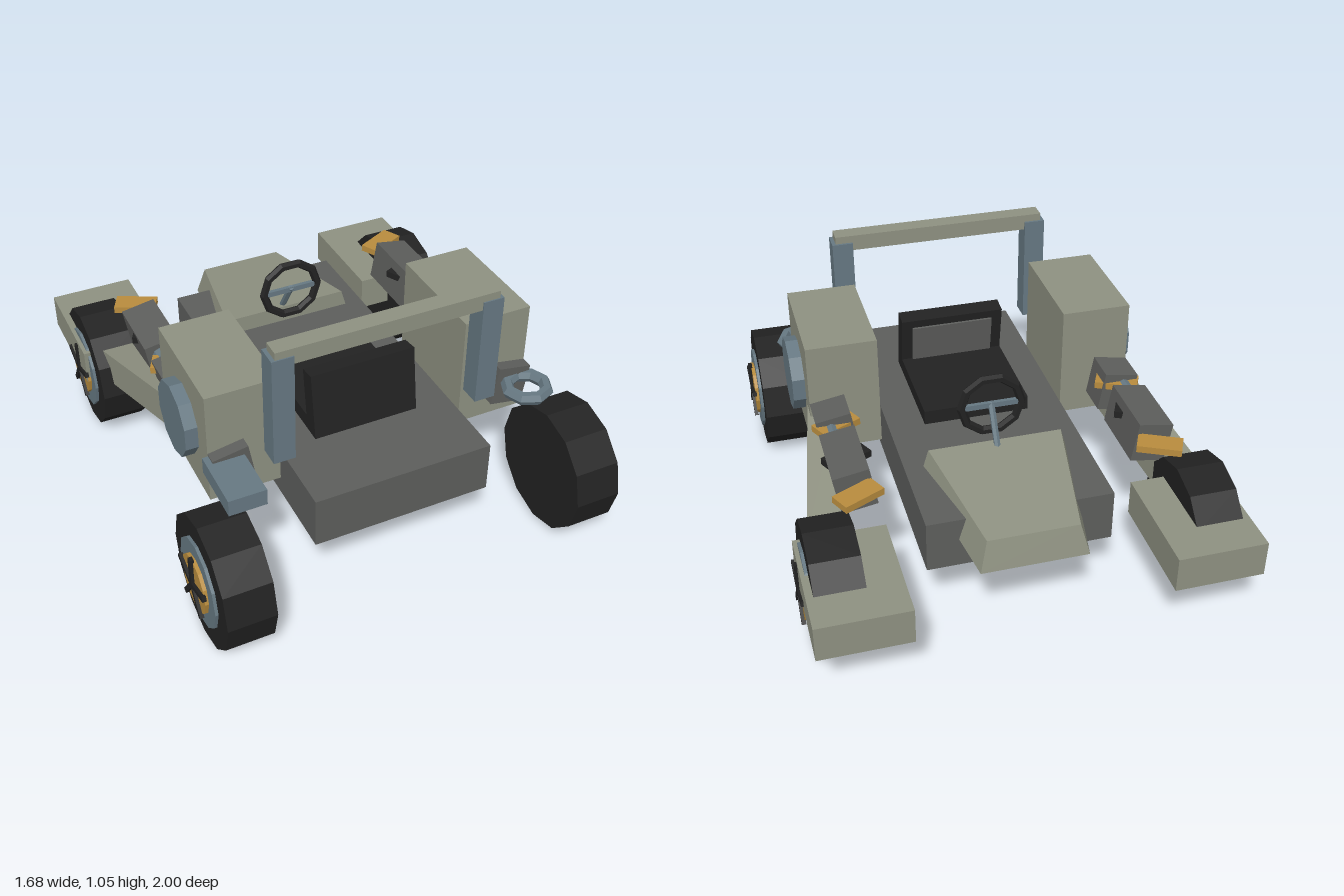
import * as THREE from 'three';

const mat = (name, color) => {
  const m = new THREE.MeshStandardMaterial({ color });
  m.name = name;
  return m;
};

export function createModel() {
  const khaki = mat('khaki', 0x8e9181);
  const steel = mat('steelBlue', 0x667882);
  const grey = mat('darkGrey', 0x5d5e5c);
  const black = mat('black', 0x222222);
  const gold = mat('gold', 0xb88c3e);

  const model = new THREE.Group();
  model.name = 'buggy';

  // Faceted mesh: every face keeps its own normal
  const add = (parent, name, geometry, material, x = 0, y = 0, z = 0) => {
    const g = geometry.index ? geometry.toNonIndexed() : geometry;
    g.computeVertexNormals();
    const mesh = new THREE.Mesh(g, material);
    mesh.name = name;
    mesh.position.set(x, y, z);
    parent.add(mesh);
    return mesh;
  };
  // Box given by its minimum and maximum corners
  const box = (parent, name, material, [x0, y0, z0], [x1, y1, z1]) =>
    add(parent, name, new THREE.BoxGeometry(x1 - x0, y1 - y0, z1 - z0), material,
      (x0 + x1) / 2, (y0 + y1) / 2, (z0 + z1) / 2);
  // Unit box whose corners are placed by a rule
  const shapedBox = (rule) => {
    const g = new THREE.BoxGeometry(1, 1, 1);
    const p = g.attributes.position;
    for (let i = 0; i < p.count; i++) {
      p.setXYZ(i, ...rule(Math.sign(p.getX(i)), p.getY(i) > 0, p.getZ(i) > 0));
    }
    return g;
  };
  // Cylinder lying along x, one corner pointing up
  const disc = (r, width, sides) =>
    new THREE.CylinderGeometry(r, r, width, sides).rotateX(Math.PI / 2)
      .rotateZ(0).rotateY(Math.PI / 2);

  // Chassis and tapered tail hood
  box(model, 'chassis', grey, [-0.36, 0.26, -0.66], [0.36, 0.47, 0.76]);
  add(model, 'hood', shapedBox((s, top, front) => {
    if (front) return top ? [s * 0.265, 0.54, -0.31] : [s * 0.3, 0.42, -0.31];
    return top ? [s * 0.175, 0.48, -0.81] : [s * 0.205, 0.36, -0.84];
  }), khaki);

  // Seat
  const seat = new THREE.Group();
  seat.name = 'seat';
  model.add(seat);
  box(seat, 'seatCushion', black, [-0.215, 0.465, -0.04], [0.215, 0.53, 0.42]);
  const back = new THREE.Group();
  back.name = 'seatBack';
  back.position.set(0, 0.465, 0.415);
  back.rotation.x = -0.15;
  seat.add(back);
  box(back, 'backrest', black, [-0.215, 0, -0.035], [0.215, 0.27, 0.035]);
  box(back, 'backrestPanel', grey, [-0.17, 0.07, -0.044], [0.17, 0.235, -0.035]);

  // Steering wheel and column
  const steering = new THREE.Group();
  steering.name = 'steering';
  steering.position.set(0, 0.665, -0.25);
  model.add(steering);
  add(steering, 'steeringRim', new THREE.TorusGeometry(0.12, 0.018, 6, 10), black);
  box(steering, 'steeringSpoke', steel, [-0.115, -0.011, -0.008], [0.115, 0.011, 0.008]);
  const column = add(steering, 'steeringColumn',
    new THREE.CylinderGeometry(0.013, 0.013, 0.2, 6), steel, 0, -0.075, -0.05);
  column.rotation.x = 0.58;

  // Roll bar
  box(model, 'rollBarTop', khaki, [-0.44, 0.985, 0.54], [0.44, 1.05, 0.61]);

  const wheel = (parent, name, z) => {
    const g = new THREE.Group();
    g.name = name;
    g.position.set(0, 0.257, z);
    parent.add(g);
    add(g, 'tyre', disc(0.257, 0.185, 12), black, 0.7075);
    add(g, 'rim', disc(0.172, 0.03, 12), steel, 0.797);
    add(g, 'hubDisc', disc(0.113, 0.03, 12), gold, 0.811);
    for (let i = 0; i < 5; i++) {
      const spoke = new THREE.BoxGeometry(0.016, 0.125, 0.02).translate(0, 0.0625, 0)
        .rotateX(i * Math.PI * 2 / 5);
      add(g, 'spoke', spoke, black, 0.83);
    }
  };

  // Parts of the model's left side; the right side is turned by sign s
  const side = (s) => {
    const g = new THREE.Group();
    g.name = s > 0 ? 'leftSide' : 'rightSide';
    model.add(g);
    wheel(g, 'frontWheel', 0.745);
    wheel(g, 'rearWheel', -0.638);
    box(g, 'rollBarPost', steel, [0.37, 0.57, 0.53], [0.455, 1.02, 0.615]);
    box(g, 'sideTank', khaki, [0.38, 0.38, 0.03], [0.66, 0.848, 0.497]);
    add(g, 'tankCap', disc(0.148, 0.06, 10), steel, 0.68, 0.61, 0.267);
    box(g, 'rearFender', khaki, [0.48, 0.255, -1], [0.828, 0.4, -0.53]);

    // Swing arm from the tank out to the rear wheel
    add(g, 'swingArm', shapedBox((sx, top, front) => {
      const y = front ? 0.505 : 0.35;
      const x = front ? 0.573 : 0.705;
      return [x + sx * 0.07, y + (top ? 0.072 : -0.072), front ? 0.2 : -0.55];
    }), khaki);

    // Arm-like chain of tilted blocks, joined by a short pipe
    for (const [name, z0, z1] of [['frontBlock', -0.11, 0.545], ['rearBlock', -0.478, -0.188]]) {
      const block = add(g, name, new THREE.BoxGeometry(0.14, 0.163, z1 - z0), grey,
        0.577, 0.532, (z0 + z1) / 2);
      block.rotation.z = -0.17;
    }
    add(g, 'linkPipe', new THREE.CylinderGeometry(0.03, 0.03, 0.12, 8).rotateX(Math.PI / 2),
      steel, 0.6, 0.56, -0.15);

    // Slanted cross plates
    for (const [name, z, m] of [['jointPlate', -0.09, gold], ['blockPlate', -0.31, black], ['endPlate', -0.547, gold]]) {
      const plate = add(g, name, new THREE.BoxGeometry(0.17, 0.028, 0.085), m, 0.578, 0.569, z);
      plate.rotation.y = 0.46;
    }

    // Mirror to the other side, reversing corner order so faces stay outward
    if (s < 0) g.scale.x = -1;
  };
  side(1);
  side(-1);

  // Different end fittings ahead of the tanks
  box(model, 'rightEndBox', steel, [-0.682, 0.525, 0.5], [-0.537, 0.592, 0.747]);
  add(model, 'leftEndRing', new THREE.TorusGeometry(0.078, 0.026, 6, 8).rotateX(Math.PI / 2),
    steel, 0.608, 0.557, 0.607);

  return model;
}
